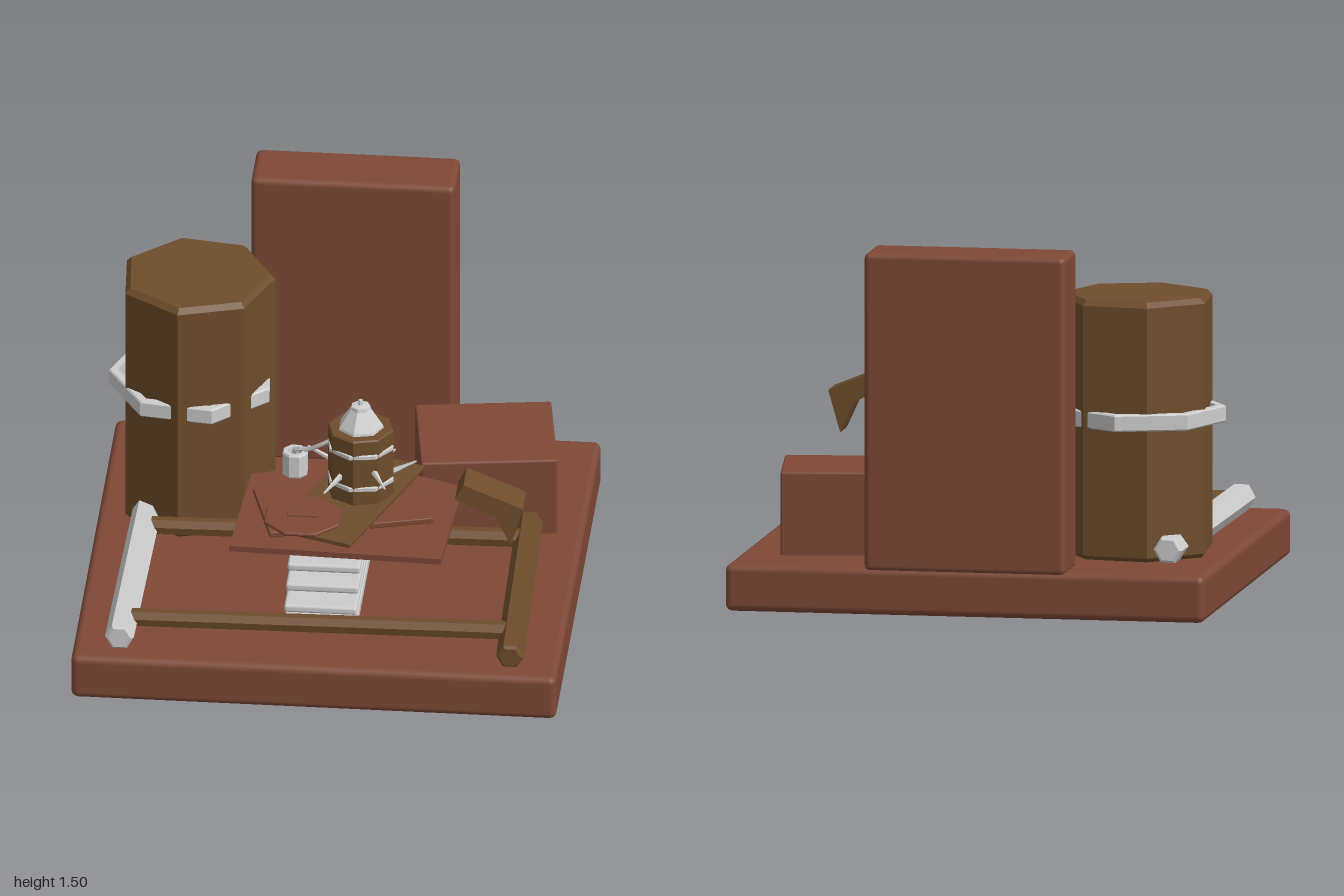
import * as THREE from 'three';
import { RoundedBoxGeometry } from 'three/addons/geometries/RoundedBoxGeometry.js';

const mat = (name, color) => Object.assign(new THREE.MeshStandardMaterial({ color }), { name });

// Faceted normals baked into the geometry
function facet(geo) {
  const g = geo.index ? geo.toNonIndexed() : geo;
  g.computeVertexNormals();
  return g;
}

// Many-sided solid turned from [radius, y] points; deg is the plan angle of one corner, from +x towards +z
function turned(points, sides, deg = 0) {
  const phi = THREE.MathUtils.degToRad(90 - deg);
  return facet(new THREE.LatheGeometry(points.map(p => new THREE.Vector2(...p)), sides, phi));
}

// Closed profile with small chamfers
const bevelled = (r0, r1, y0, y1, b) => [[0, y0], [r0 - b, y0], [r0, y0 + b], [r1, y1 - b], [r1 - b, y1], [0, y1]];
const hoop = (ri, ro, y0, y1, b = 0.006) =>
  [[ri, y0], [ro - b, y0], [ro, y0 + b], [ro, y1 - b], [ro - b, y1], [ri, y1], [ri, y0]];

export function createModel() {
  const red = mat('redwood', 0x7f4937);
  const brown = mat('brownWood', 0x6e4d2b);
  const white = mat('paleMetal', 0xcdcdcd);
  const root = new THREE.Group();
  root.name = 'cellarRoom';

  function add(name, geo, material, x = 0, y = 0, z = 0, rotY = 0, parent = root) {
    const m = new THREE.Mesh(geo, material);
    m.name = name;
    m.position.set(x, y, z);
    m.rotation.y = THREE.MathUtils.degToRad(rotY);
    parent.add(m);
    return m;
  }
  // Box given by its centre in plan, lower and upper height
  const box = (name, material, w, d, y0, y1, x, z, rotY = 0, r = 0.005) =>
    add(name, new RoundedBoxGeometry(w, y1 - y0, d, 2, r), material, x, (y0 + y1) / 2, z, rotY);

  // Rod between two points
  function rod(name, material, a, b, r0, r1, sides, bevel, parent = root) {
    const p = new THREE.Vector3(...a), d = new THREE.Vector3(...b).sub(p);
    const m = add(name, turned(bevelled(r0, r1, 0, d.length(), bevel), sides), material, ...a, 0, parent);
    m.quaternion.setFromUnitVectors(new THREE.Vector3(0, 1, 0), d.normalize());
    return m;
  }

  // Floor, rear wall and side block
  box('floorSlab', red, 2, 2, 0, 0.195, 0, 0, 0, 0.03);
  box('backWall', red, 0.84, 0.265, 0.18, 1.5, 0, -0.867, 0, 0.025);
  box('sideBlock', red, 0.56, 0.495, 0.18, 0.54, 0.58, -0.416, 8.2, 0.01);

  // Large cask and its hoop
  add('largeCask', turned(bevelled(0.322, 0.322, 0.19, 1.27, 0.022), 7, -4), brown, -0.605, 0, -0.34);
  add('largeCaskHoop', turned(hoop(0.31, 0.348, 0.74, 0.81), 7, -82), white, -0.62, 0, -0.35);

  // Floor rails
  rod('leftRail', white, [-0.785, 0.25, -0.66], [-0.808, 0.25, 0.92], 0.06, 0.06, 6, 0.012);
  rod('rightRail', brown, [0.78, 0.255, -0.2], [0.802, 0.243, 0.92], 0.055, 0.057, 6, 0.012);
  rod('frontRail', brown, [-0.8, 0.26, 0.76], [0.77, 0.26, 0.727], 0.038, 0.04, 7, 0.01);
  rod('rearRail', brown, [-0.78, 0.26, -0.008], [0.77, 0.26, -0.043], 0.038, 0.04, 7, 0.01);

  // Stacked slabs under the table, each wider than the one above
  [[0.385, 0.42, -0.07, 0.54], [0.33, 0.365, -0.13, 0.61], [0.275, 0.31, -0.23, 0.69], [0.195, 0.25, -0.385, 0.69]]
    .forEach(([y0, y1, z0, z1], i) =>
      box(`tableBaseSlab${i + 1}`, white, 0.3, z1 - z0, y0, y1, 0, (z0 + z1) / 2, 0, 0.012));
  rod('tableStrut', white, [0.075, 0.48, -0.46], [0.075, 0.53, 0.27], 0.05, 0.024, 8, 0.008);

  // Five-sided table top
  const outline = [[0.07, -0.11], [0.53, 0.07], [0.495, 0.68], [-0.38, 0.65], [-0.345, 0.045]];
  const top = new THREE.ExtrudeGeometry(new THREE.Shape(outline.map(([x, z]) => new THREE.Vector2(x, -z))),
    { depth: 0.025, bevelEnabled: false });
  add('tableTop', top.rotateX(-Math.PI / 2), red, 0, 0.53, 0);

  // Boards and tray lying on the table
  box('lowerBoard', red, 0.685, 0.38, 0.567, 0.592, 0.06, 0.315, 15.6);
  box('upperBoard', brown, 0.33, 0.725, 0.6, 0.622, 0.09, 0.31, -19.8);
  add('tray', turned(bevelled(0.167, 0.167, 0.625, 0.64, 0.004), 8, 22.5), red, -0.088, 0, 0.515);
  box('trayHandle', red, 0.13, 0.03, 0.638, 0.648, -0.087, 0.515, 0, 0.003);

  // Small keg with hoops, lid and prongs
  const keg = new THREE.Group();
  keg.name = 'smallKeg';
  keg.position.set(0.125, 0, 0.25);
  root.add(keg);
  add('kegBody', turned(bevelled(0.138, 0.138, 0.615, 0.92, 0.006), 8, 8), brown, 0, 0, 0, 0, keg);
  for (const y of [0.682, 0.832])
    add('kegHoop', turned(hoop(0.125, 0.143, y, y + 0.022, 0.004), 8, 14), white, 0, 0, 0, 0, keg);
  add('kegLid', turned([[0, 0.915], [0.097, 0.915], [0.093, 0.93], [0.044, 1.005], [0.04, 1.02], [0.012, 1.025],
    [0.009, 1.045], [0, 1.048]], 7), white, 0, 0, 0, 0, keg);
  [[-121, 0.77, 0.79], [-57, 0.69, 0.71], [-8, 0.7, 0.75], [59, 0.77, 0.74], [126, 0.74, 0.7]]
    .forEach(([deg, y0, y1]) => {
      const a = THREE.MathUtils.degToRad(deg), c = Math.cos(a), s = Math.sin(a);
      rod('kegProng', white, [c * 0.12, y0, s * 0.12], [c * 0.23, y1, s * 0.23], 0.014, 0.004, 5, 0.002, keg);
    });

  // Spout curving from the keg to the cup
  const spout = new THREE.CatmullRomCurve3([[0.02, 0.84, 0.215], [-0.05, 0.79, 0.195], [-0.1, 0.755, 0.17], [-0.15, 0.745, 0.15],
    [-0.16, 0.72, 0.14]].map(p => new THREE.Vector3(...p)));
  add('kegSpout', facet(new THREE.TubeGeometry(spout, 10, 0.01, 5)), white);
  rod('spoutBrace', white, [0.01, 0.735, 0.215], [-0.1, 0.77, 0.17], 0.012, 0.006, 5, 0.002);

  // Hollow cup
  add('cup', turned([[0, 0.622], [0.05, 0.622], [0.055, 0.63], [0.055, 0.723], [0.05, 0.73], [0.032, 0.73], [0.028, 0.65], [0, 0.65]], 8, 22.5),
    white, -0.155, 0, 0.14);

  // Bent bracket beside the table
  const bend = [[0.575, 0.826], [0.54, 0.757], [0.71, 0.68], [0.77, 0.55], [0.82, 0.725]];
  const bracket = new THREE.ExtrudeGeometry(new THREE.Shape(bend.map(p => new THREE.Vector2(...p))),
    { depth: 0.15, bevelEnabled: false });
  add('bentBracket', bracket, brown, 0, 0, 0.385);

  return root;
}
